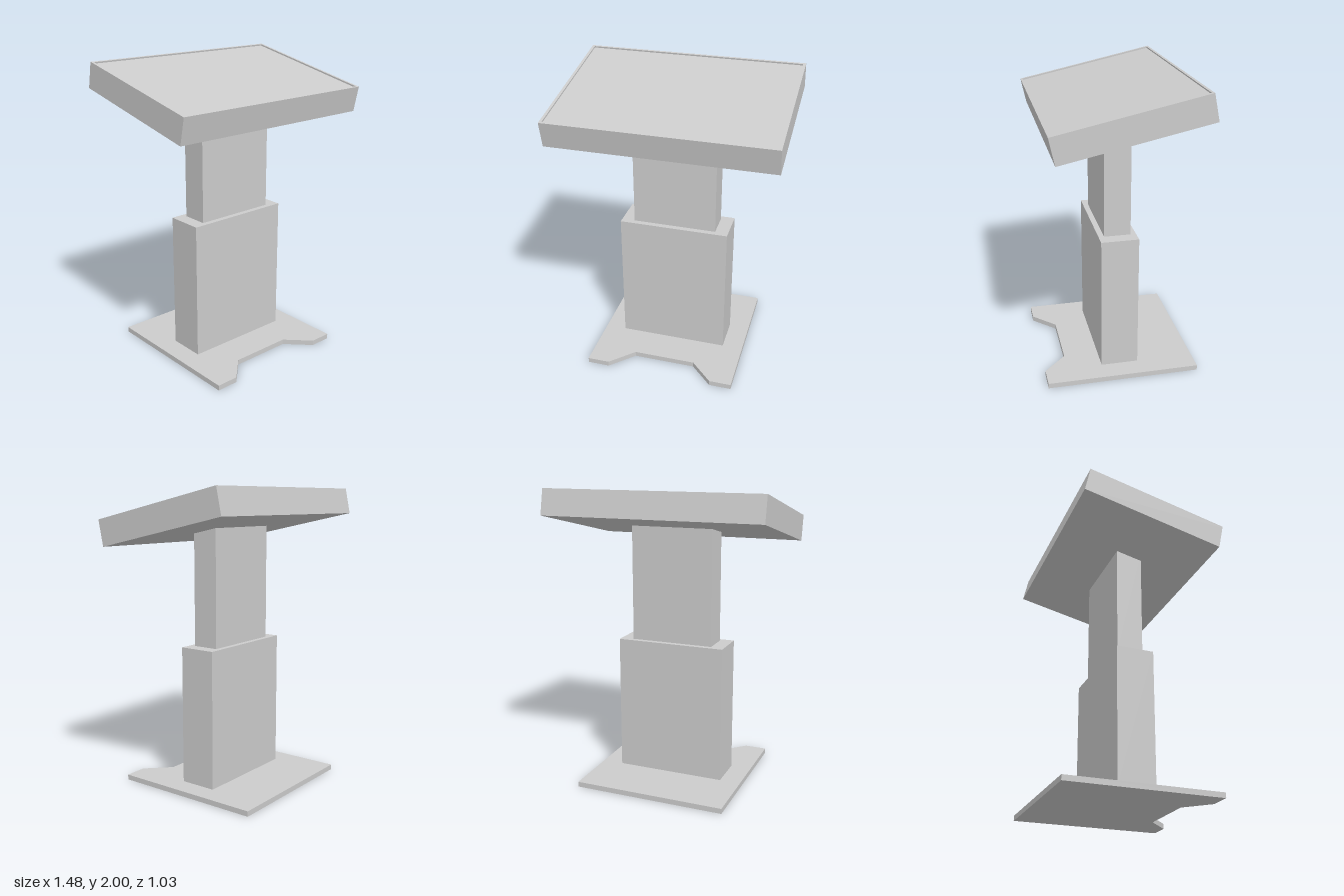
import * as THREE from 'three';

const material = new THREE.MeshStandardMaterial({ color: 0xcccccc, flatShading: true });

function addMesh(parent, name, geometry, x = 0, y = 0, z = 0) {
  const mesh = new THREE.Mesh(geometry, material);
  mesh.name = name;
  mesh.position.set(x, y, z);
  parent.add(mesh);
  return mesh;
}

// Box spanning y0 to y1, centred on x and z
function addColumn(parent, name, width, depth, y0, y1) {
  return addMesh(parent, name, new THREE.BoxGeometry(width, y1 - y0, depth), 0, (y0 + y1) / 2, 0);
}

function rectPoints(w, d) {
  return [[-w, -d], [w, -d], [w, d], [-w, d]].map(([x, y]) => new THREE.Vector2(x, y));
}

export function createModel() {
  const group = new THREE.Group();
  group.name = 'kiosk';

  // Floor plate with a bevelled notch in its front edge (shape y becomes -z)
  const half = 0.515;
  const plate = new THREE.Shape([
    [-half, half], [-half, -half], [-0.365, -half], [-0.213, -0.363],
    [0.213, -0.363], [0.365, -half], [half, -half], [half, half],
  ].map(([x, y]) => new THREE.Vector2(x, y)));
  const plateGeometry = new THREE.ExtrudeGeometry(plate, { depth: 0.035, bevelEnabled: false });
  plateGeometry.rotateX(-Math.PI / 2);
  addMesh(group, 'basePlate', plateGeometry);

  // Telescoping column, its top buried in the tilted head
  addColumn(group, 'lowerColumn', 0.746, 0.252, 0.035, 0.965);
  addColumn(group, 'upperColumn', 0.568, 0.178, 0.965, 1.76);

  // Tilted display head: body, raised rim and recessed screen
  const head = new THREE.Group();
  head.name = 'displayHead';
  head.position.set(0, 1.815, 0.0025);
  head.rotation.x = 0.2086;
  group.add(head);

  const width = 1.476, length = 0.966, thickness = 0.174, recess = 0.01;
  const rimBase = thickness / 2 - recess;
  const body = new THREE.BoxGeometry(width, thickness - recess, length);
  addMesh(head, 'headBody', body, 0, -recess / 2, 0);

  const rim = new THREE.Shape(rectPoints(width / 2, length / 2));
  rim.holes.push(new THREE.Path(rectPoints(width / 2 - 0.018, length / 2 - 0.014).reverse()));
  const rimGeometry = new THREE.ExtrudeGeometry(rim, { depth: recess, bevelEnabled: false });
  rimGeometry.rotateX(-Math.PI / 2);
  addMesh(head, 'screenRim', rimGeometry, 0, rimBase, 0);

  return group;
}
